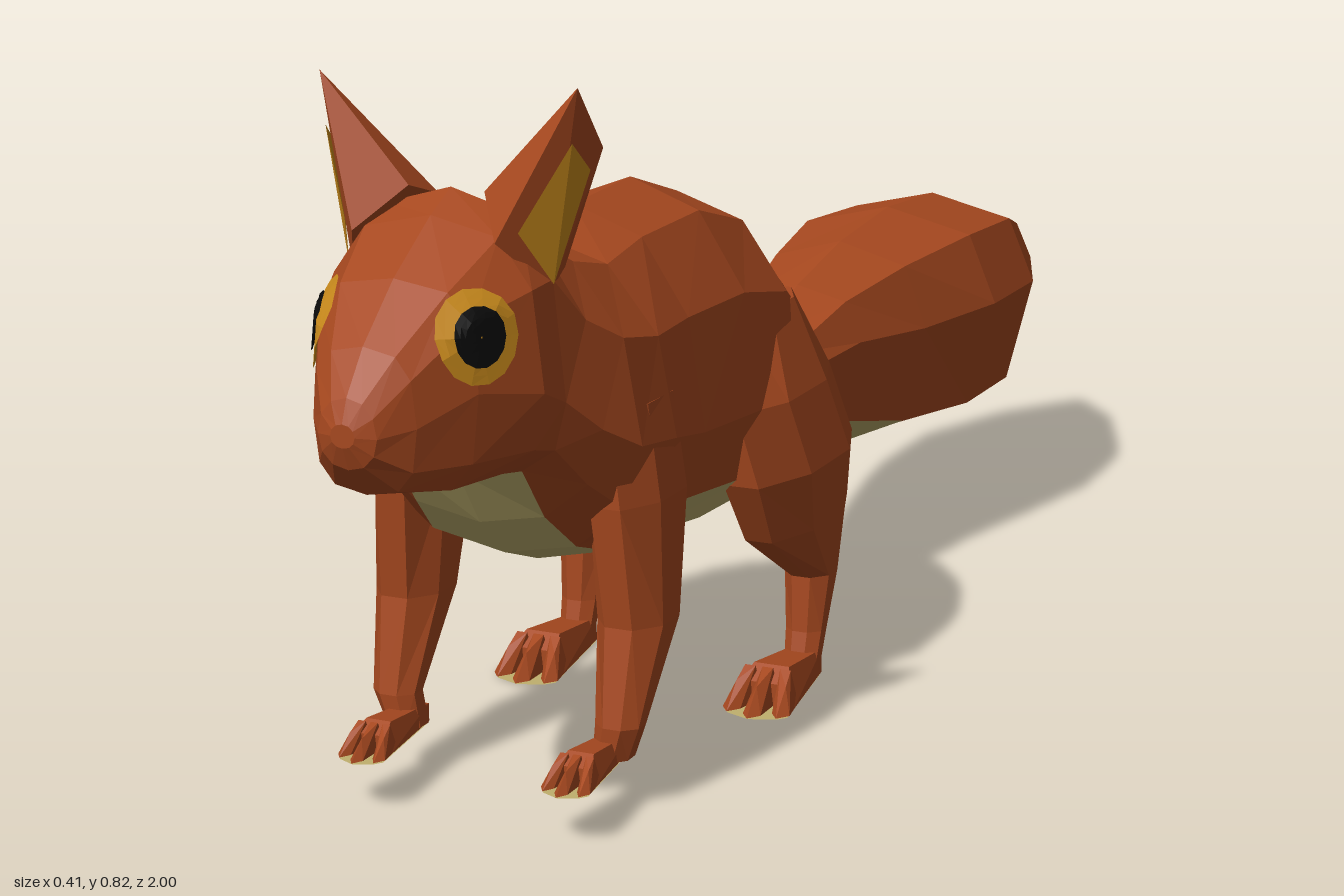
import * as THREE from 'three';
import { ConvexGeometry } from 'three/addons/geometries/ConvexGeometry.js';

const material = (name, color) => {
  const m = new THREE.MeshStandardMaterial({ color, flatShading: true, side: THREE.DoubleSide });
  m.name = name;
  return m;
};
const V = (x, y, z) => new THREE.Vector3(x, y, z);

// Closed skin over rings of points; pick(ring, segment) gives the material index of each quad
function loft(rings, pick = () => 0) {
  const buckets = [];
  let volume = 0;
  const tri = (m, a, b, c) => {
    (buckets[m] ??= []).push([a, b, c]);
    volume += a.dot(b.clone().cross(c));
  };
  const n = rings[0].length;
  for (let i = 0; i < rings.length - 1; i++) {
    for (let j = 0; j < n; j++) {
      const k = (j + 1) % n, A = rings[i], B = rings[i + 1], m = pick(i, j);
      tri(m, A[j], A[k], B[k]);
      tri(m, A[j], B[k], B[j]);
    }
  }
  const first = rings[0], last = rings[rings.length - 1];
  for (let j = 1; j < n - 1; j++) {
    tri(pick(0, 0), first[0], first[j + 1], first[j]);
    tri(pick(rings.length - 2, 0), last[0], last[j], last[j + 1]);
  }
  // Turn every face outward, whichever way the rings run
  const points = [], geometry = new THREE.BufferGeometry();
  buckets.forEach((list, m) => {
    geometry.addGroup(points.length, list.length * 3, m);
    for (const [a, b, c] of list) points.push(...(volume > 0 ? [a, b, c] : [a, c, b]));
  });
  geometry.setFromPoints(points);
  geometry.computeVertexNormals();
  return geometry;
}

// Upright cross-section, widest at height yw; a lower power is boxier
function section([z, top, bottom, w, yw, power = 0.93], sides) {
  return Array.from({ length: sides }, (_, i) => {
    const a = (i / sides) * Math.PI * 2;
    const bend = (v) => Math.sign(v) * Math.pow(Math.abs(v), power);
    const c = bend(Math.cos(a));
    return V(w * bend(Math.sin(a)), yw + c * (c > 0 ? top - yw : yw - bottom), z);
  });
}

// Level cross-section of a leg
function legRing([y, x, z, rx, rz], s) {
  return Array.from({ length: 8 }, (_, i) => {
    const a = ((i + 0.5) / 8) * Math.PI * 2;
    return V(s * (x + rx * 1.06 * Math.cos(a)), y, z + rz * 1.06 * Math.sin(a));
  });
}

export function createModel() {
  const model = new THREE.Group();
  model.name = 'squirrel';
  const fur = material('rust fur', 0xa6481f);
  const cream = material('cream belly', 0xc0b06e);
  const gold = material('gold trim', 0xc98a1c);
  const black = material('black pupil', 0x0a0a0a);
  const add = (name, geometry, mat, parent = model) => {
    const mesh = new THREE.Mesh(geometry, mat);
    mesh.name = name;
    parent.add(mesh);
    return mesh;
  };

  // Body and head in one skin: [z, top, bottom, half width, widest height, boxiness]
  const bodyRings = [
    [0.0, 0.36, 0.265, 0.065, 0.31],
    [0.03, 0.42, 0.25, 0.095, 0.32],
    [0.07, 0.51, 0.235, 0.13, 0.35],
    [0.2, 0.605, 0.215, 0.165, 0.37],
    [0.33, 0.645, 0.22, 0.167, 0.38],
    [0.48, 0.64, 0.24, 0.163, 0.39],
    [0.58, 0.625, 0.25, 0.174, 0.41],
    [0.66, 0.645, 0.28, 0.17, 0.42],
    [0.715, 0.675, 0.33, 0.15, 0.45],
    [0.765, 0.71, 0.4, 0.132, 0.49, 0.75],
    [0.81, 0.688, 0.408, 0.13, 0.51, 0.72],
    [0.89, 0.637, 0.41, 0.096, 0.525, 0.62],
    [0.955, 0.58, 0.425, 0.06, 0.5, 0.7],
    [0.99, 0.535, 0.46, 0.034, 0.495],
    [1.0, 0.51, 0.485, 0.014, 0.497],
  ];
  // Cream runs narrow under the chest and rump, wide under the belly
  const creamHalf = (i) => (i > 8 ? 0 : i > 2 && i < 6 ? 2 : 1);
  const body = add('body', loft(bodyRings.map((r) => section(r, 12)),
    (i, j) => (Math.abs(j - 5.5) < creamHalf(i) ? 1 : 0)), [fur, cream]);

  // Bushy tail with a cream underside near the root and a gold tip
  const tailRings = [
    [0.03, 0.355, 0.27, 0.06, 0.32],
    [-0.02, 0.365, 0.265, 0.07, 0.33],
    [-0.18, 0.41, 0.195, 0.09, 0.34],
    [-0.33, 0.44, 0.155, 0.125, 0.33],
    [-0.51, 0.455, 0.135, 0.162, 0.33],
    [-0.69, 0.443, 0.13, 0.157, 0.325],
    [-0.87, 0.385, 0.193, 0.092, 0.32],
    [-1.0, 0.318, 0.314, 0.002, 0.316],
  ];
  add('tail', loft(tailRings.map((r) => section([...r, 0.8], 8)),
    (i, j) => (i === 6 ? 2 : i < 3 && (j === 3 || j === 4) ? 1 : 0)), [fur, cream, gold]);

  // Leg rings: [y, x, z, half width, half depth]
  const frontLeg = [
    [0.06, 0.13, 0.655, 0.022, 0.024],
    [0.1, 0.14, 0.658, 0.027, 0.024],
    [0.21, 0.14, 0.61, 0.041, 0.053],
    [0.35, 0.133, 0.595, 0.045, 0.085],
    [0.46, 0.12, 0.6, 0.045, 0.08],
  ];
  const hindLeg = [
    [0.01, 0.155, 0.175, 0.021, 0.019],
    [0.06, 0.155, 0.16, 0.024, 0.022],
    [0.13, 0.155, 0.145, 0.03, 0.034],
    [0.21, 0.153, 0.185, 0.043, 0.122],
    [0.29, 0.151, 0.205, 0.055, 0.15],
    [0.38, 0.131, 0.225, 0.053, 0.145],
    [0.48, 0.1, 0.205, 0.042, 0.085],
  ];

  // Foot: wedge with three fanned toes and a cream sole
  function foot(name, s, x, y, heel, tip, w, h) {
    const group = new THREE.Group();
    group.name = name;
    model.add(group);
    const at = (u, v, t) => V(s * (x + u * w), y + 0.002 + v * h, heel + (tip - heel) * t);
    const mirrored = (list) => list.flatMap(([u, v, t]) => [at(u, v, t), at(-u, v, t)]);
    add('instep', new ConvexGeometry(mirrored([
      [0.4, 0, 0], [0.4, 0.65, 0], [0.85, 0, 0.72], [0.5, 0.95, 0.6], [0.65, 0.6, 0.72],
    ])), fur, group);
    for (const k of [-1, 0, 1]) {
      const c = k * 0.5, e = k * 0.7, end = k ? 0.93 : 1;
      add('toe', new ConvexGeometry([
        at(c - 0.26, 0, 0.6), at(c + 0.26, 0, 0.6), at(c - 0.15, 0.95, 0.66), at(c + 0.15, 0.95, 0.66),
        at(e - 0.25, 0, end - 0.08), at(e + 0.25, 0, end - 0.08), at(e, 0.65, end - 0.16), at(e, 0, end),
      ]), fur, group);
    }
    const outline = [[0.38, 0], [0.82, 0.72], [0.9, 0.86], [0.68, 0.92], [0, 0.98],
      [-0.68, 0.92], [-0.9, 0.86], [-0.82, 0.72], [-0.38, 0]];
    const sole = new THREE.ShapeGeometry(new THREE.Shape(
      outline.map(([u, t]) => new THREE.Vector2(s * (x + u * w), heel + (tip - heel) * t))));
    sole.rotateX(Math.PI / 2).translate(0, y, 0);
    add('sole', sole, cream, group);
  }

  for (const s of [1, -1]) {
    const side = s > 0 ? 'left' : 'right';
    add(side + 'FrontLeg', loft(frontLeg.map((r) => legRing(r, s))), fur);
    add(side + 'HindLeg', loft(hindLeg.map((r) => legRing(r, s)),
      (i, j) => (i >= 3 && (j === 3 || j === 4) ? 1 : 0)), [fur, cream]);
    foot(side + 'FrontFoot', s, 0.126, 0.056, 0.635, 0.79, 0.031, 0.032);
    foot(side + 'HindFoot', s, 0.155, 0, 0.155, 0.345, 0.046, 0.046);

    // Pointed ear with a gold hollow facing outward and forward
    const rim = [V(0.152, 0.825, 0.77), V(0.084, 0.668, 0.828), V(0.118, 0.61, 0.768), V(0.155, 0.755, 0.718)];
    const base = [V(0.045, 0.71, 0.775), V(0.045, 0.69, 0.71), V(0.1, 0.62, 0.7)];
    const flip = (p) => V(p.x * s, p.y, p.z);
    add(side + 'Ear', new ConvexGeometry([...rim, ...base].map(flip)), fur);
    const mid = rim[0].clone().lerp(rim[2], 0.6);
    const shrink = [0.45, 0.32, 0.08, 0.35];
    const inset = rim.map((p, i) => flip(p.clone().lerp(mid, shrink[i]).add(V(0.003, 0, 0.002))));
    const order = s > 0 ? [0, 1, 2, 0, 2, 3] : [0, 2, 1, 0, 3, 2];
    const hollow = new THREE.BufferGeometry().setFromPoints(order.map((i) => inset[i]));
    hollow.computeVertexNormals();
    add(side + 'EarHollow', hollow, gold);

    // Eye discs laid onto the curve of the head
    const normal = V(s * 0.84, 0.14, 0.52).normalize();
    const turn = new THREE.Quaternion().setFromUnitVectors(V(0, 0, 1), normal);
    const ray = new THREE.Raycaster();
    const eye = (name, radius, lift, mat) => {
      const disc = new THREE.RingGeometry(0.001, radius, 14, 5);
      const pos = disc.attributes.position;
      for (let i = 0; i < pos.count; i++) {
        const p = V(0, 0, 0).fromBufferAttribute(pos, i).applyQuaternion(turn).add(V(s * 0.09, 0.582, 0.88));
        ray.set(p.clone().addScaledVector(normal, 0.3), normal.clone().negate());
        const hit = ray.intersectObject(body)[0];
        if (hit) p.copy(hit.point);
        p.addScaledVector(normal, lift);
        pos.setXYZ(i, p.x, p.y, p.z);
      }
      disc.computeVertexNormals();
      add(name, disc, mat);
    };
    eye(side + 'EyeRing', 0.05, 0.003, gold);
    eye(side + 'Pupil', 0.032, 0.006, black);
  }
  return model;
}
